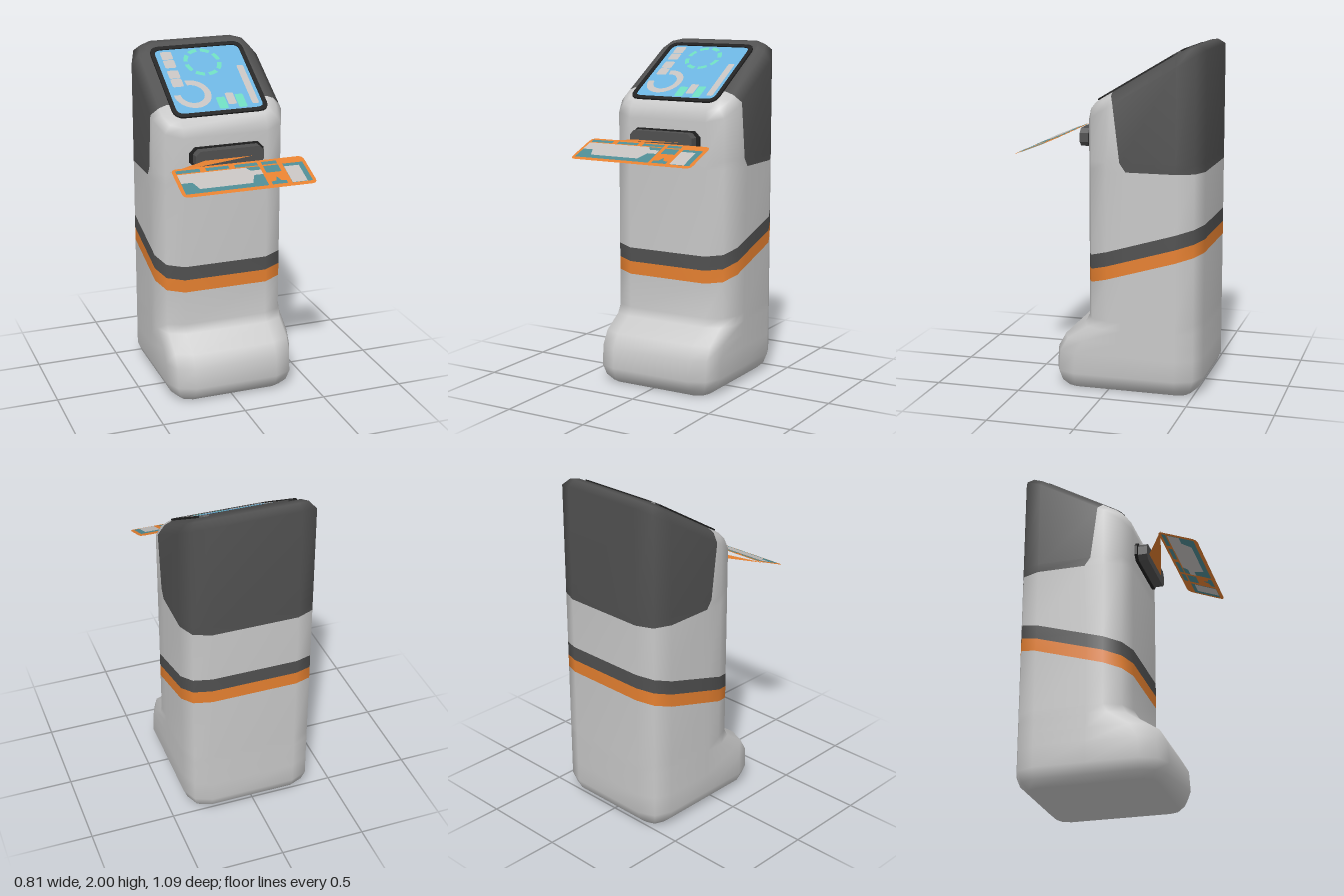
import * as THREE from 'three';

const mat = (name, color, double) => {
  const m = new THREE.MeshStandardMaterial({ color });
  m.name = name;
  if (double) m.side = THREE.DoubleSide;
  return m;
};

const CX = 0.012, HALF = 0.393, BACK = -0.545, SLOPE = 0.596;

// One body cross-section: a rounded rectangle on the plane y = c - s * z
function ring(c, s, zf, inset = 0, zs = -0.1) {
  const hw = HALF - inset, zb = BACK + inset, r = Math.max(0.14 - inset, 0.05);
  const pts = [];
  const corner = (sx, zEdge, sz, from) => {
    for (let i = 0; i <= 2; i++) {
      const a = from + (i * Math.PI) / 4;
      pts.push([CX + sx * (hw - r) + r * Math.cos(a), zEdge - sz * r - r * Math.sin(a)]);
    }
  };
  pts.push([CX + hw, zs]);
  corner(1, zb, -1, 0);
  corner(-1, zb, -1, Math.PI / 2);
  pts.push([CX - hw, zs]);
  corner(-1, zf, 1, Math.PI);
  corner(1, zf, 1, 1.5 * Math.PI);
  return pts.map(([x, z]) => [x, c - s * z, z]);
}

function buildBody(materials) {
  const F = 0.133, top = 1.723;
  // [ring, colour of the band above: 0 shell, 1 dark, 2 orange, 3 dark hood at the back only]
  const rings = [
    [ring(0, 0, 0.265, 0.07), 0],
    [ring(0.04, 0, 0.31, 0.025), 0],
    [ring(0.1, 0, 0.333), 0],
    [ring(0.22, 0, 0.325), 0],
    [ring(0.3, 0, 0.28), 0],
    [ring(0.38, 0, 0.16), 0],
    [ring(0.43, 0, F), 0],
    [ring(0.675, 0.3, F), 2],
    [ring(0.752, 0.3, F), 1],
    [ring(0.835, 0.3, F), 0],
    [ring(1.3, 0, F, 0, -0.12), 3],
    [ring(1.35, 0, F, 0, -0.085), 3],
    [ring(top - 0.073, SLOPE, F, 0, -0.045), 3],
    [ring(top - 0.02, SLOPE, F - 0.012, 0.045, -0.025), 3],
    [ring(top, SLOPE, F - 0.04, 0.09, -0.02), 3],
  ];
  const n = rings[0][0].length, last = rings.length - 1;
  const faces = [[], [], []];
  for (let i = 0; i < last; i++) {
    for (let j = 0; j < n; j++) {
      const code = rings[i][1];
      const colour = code === 3 ? (j < 7 ? 1 : 0) : code;
      const k = (j + 1) % n, a = i * n + j, b = i * n + k;
      faces[colour].push(a, b, b + n, a, b + n, a + n);
    }
  }
  // Underside, then the sloped top in its dark and light halves
  for (let j = 1; j < n - 1; j++) faces[0].push(0, j + 1, j);
  const t = last * n;
  for (let j = 1; j < 7; j++) faces[1].push(t, t + j, t + j + 1);
  for (let j = 7; j < n - 1; j++) faces[0].push(t, t + j, t + j + 1);

  const geo = new THREE.BufferGeometry();
  geo.setAttribute('position', new THREE.Float32BufferAttribute(rings.flatMap((r) => r[0].flat()), 3));
  geo.setIndex(faces.flat());
  let start = 0;
  faces.forEach((f, i) => { geo.addGroup(start, f.length, i); start += f.length; });
  geo.computeVertexNormals();
  return new THREE.Mesh(geo, materials);
}

// Rectangle with softly cut corners
function softRect(x0, x1, y0, y1, r, Type = THREE.Shape) {
  const s = new Type();
  s.moveTo(x0 + r, y0);
  s.lineTo(x1 - r, y0);
  s.quadraticCurveTo(x1, y0, x1, y0 + r);
  s.lineTo(x1, y1 - r);
  s.quadraticCurveTo(x1, y1, x1 - r, y1);
  s.lineTo(x0 + r, y1);
  s.quadraticCurveTo(x0, y1, x0, y1 - r);
  s.lineTo(x0, y0 + r);
  s.quadraticCurveTo(x0, y0, x0 + r, y0);
  return s;
}

function chamferBlock(w, h, c, depth) {
  const p = [[-w + c, -h], [w - c, -h], [w, -h + c], [w, h - c], [w - c, h], [-w + c, h], [-w, h - c], [-w, -h + c]];
  const shape = new THREE.Shape(p.map(([x, y]) => new THREE.Vector2(x, y)));
  return new THREE.ExtrudeGeometry(shape, { depth, bevelEnabled: false });
}

export function createModel() {
  const model = new THREE.Group();
  model.name = 'kiosk';
  const shell = mat('shellGrey', 0xc8c8c8);
  const dark = mat('darkGrey', 0x505050);
  const orange = mat('orange', 0xe58030, true);
  const black = mat('bezelBlack', 0x202020);
  const blue = mat('screenBlue', 0x6bb2de);
  const mint = mat('mint', 0x6cd8bc);
  const pale = mat('paleGrey', 0xc4c0be, true);
  const teal = mat('teal', 0x4e8a92, true);

  const add = (parent, name, geo, material, x = 0, y = 0, z = 0) => {
    const m = new THREE.Mesh(geo, material);
    m.name = name;
    m.position.set(x, y, z);
    parent.add(m);
    return m;
  };

  const body = buildBody([shell, dark, orange]);
  body.name = 'body';
  model.add(body);

  // Sloped screen
  const screen = new THREE.Group();
  screen.name = 'screen';
  screen.position.set(CX, 1.723 + SLOPE * 0.17, -0.17);
  screen.rotation.x = Math.atan(SLOPE) - Math.PI / 2;
  model.add(screen);
  const frame = softRect(-0.288, 0.288, -0.291, 0.291, 0.065);
  frame.holes.push(softRect(-0.263, 0.263, -0.264, 0.264, 0.045, THREE.Path));
  add(screen, 'bezel', new THREE.ExtrudeGeometry(frame, { depth: 0.032, bevelEnabled: false, curveSegments: 4 }), black, 0, 0, -0.022);
  add(screen, 'display', new THREE.ShapeGeometry(softRect(-0.266, 0.266, -0.267, 0.267, 0.045), 4), blue, 0, 0, 0.004);

  // Screen graphics, placed by plan coordinates
  const sv = (z) => -(z + 0.17) / 0.859;
  const tile = (name, x0, x1, z0, z1, material, r = 0.01) =>
    add(screen, name, new THREE.ShapeGeometry(softRect(x0 - CX, x1 - CX, sv(z1), sv(z0), r), 3), material, 0, 0, 0.007);
  [-0.38, -0.32, -0.245, -0.185].forEach((z) => tile('menuTile', -0.218, -0.15, z, z + 0.057, pale, 0.012));
  tile('sideBar', 0.212, 0.253, -0.245, 0.028, pale);
  tile('chartBar', 0.07, 0.12, -0.06, 0.02, pale);
  tile('chartBar', 0.008, 0.062, -0.035, 0.045, mint);
  tile('chartBar', 0.126, 0.176, -0.045, 0.045, mint);
  add(screen, 'gaugeArc', new THREE.RingGeometry(0.072, 0.112, 28, 1, -Math.PI, 1.55 * Math.PI), pale, -0.12 - CX, sv(-0.072), 0.007);
  for (let i = 0; i < 8; i++) {
    const a = (i * Math.PI) / 4 + 0.1;
    add(screen, 'dialDash', new THREE.RingGeometry(0.088, 0.114, 6, 1, a, 0.55), mint, 0.005, sv(-0.288), 0.007);
  }

  // Bracket on the front
  add(model, 'bracketPlate', chamferBlock(0.222, 0.06, 0.032, 0.03), black, CX, 1.457, 0.12);
  add(model, 'bracket', chamferBlock(0.205, 0.052, 0.026, 0.08), dark, CX, 1.457, 0.125);

  // Thin arm from the bracket to the corner of the tray
  const arm = new THREE.BufferGeometry();
  arm.setAttribute('position', new THREE.Float32BufferAttribute([-0.4, 1.45, 0.34, 0.17, 1.455, 0.2, -0.13, 1.455, 0.2], 3));
  arm.computeVertexNormals();
  add(model, 'supportArm', arm, orange);

  // Tilted keyboard tray, marked on both sides
  const tray = new THREE.Group();
  tray.name = 'keyboardTray';
  tray.position.set(CX, 1.415, 0.43);
  tray.rotation.x = -Math.atan2(0.23, 0.09);
  model.add(tray);
  add(tray, 'trayBase', new THREE.ShapeGeometry(softRect(-0.393, 0.393, -0.123, 0.123, 0.035), 4), orange);
  const kv = (z) => -(z - 0.43) / 0.931;
  const mark = (name, pts, material, lift) => {
    const shape = new THREE.Shape(pts.map(([x, z]) => new THREE.Vector2(x - CX, kv(z))));
    for (const side of [1, -1]) {
      const m = add(tray, name, new THREE.ShapeGeometry(shape), material, 0, 0, side * lift);
      if (side < 0) m.geometry.attributes.normal.needsUpdate = true;
    }
  };
  const box = (x0, x1, z0, z1) => [[x0, z0], [x1, z0], [x1, z1], [x0, z1]];
  [[-0.36, -0.22], [-0.185, -0.05], [-0.015, 0.12], [0.145, 0.235]].forEach(([a, b]) =>
    mark('functionKeys', box(a, b, 0.333, 0.357), teal, 0.002));
  mark('keyField', box(-0.36, 0.122, 0.365, 0.522), teal, 0.002);
  mark('keys', [[-0.36, 0.367], [0.04, 0.367], [0.06, 0.395], [0.122, 0.395], [0.122, 0.432], [0.068, 0.432],
    [0.038, 0.493], [-0.27, 0.493], [-0.295, 0.438], [-0.36, 0.438]], pale, 0.004);
  mark('editKeys', box(0.145, 0.235, 0.368, 0.423), teal, 0.002);
  mark('arrowKeys', [[0.19, 0.46], [0.205, 0.492], [0.235, 0.497], [0.235, 0.52], [0.145, 0.52], [0.145, 0.497], [0.175, 0.492]], teal, 0.002);
  mark('numberField', box(0.262, 0.384, 0.365, 0.522), teal, 0.002);
  mark('numberKeys', box(0.262, 0.352, 0.39, 0.522), pale, 0.004);

  return model;
}
